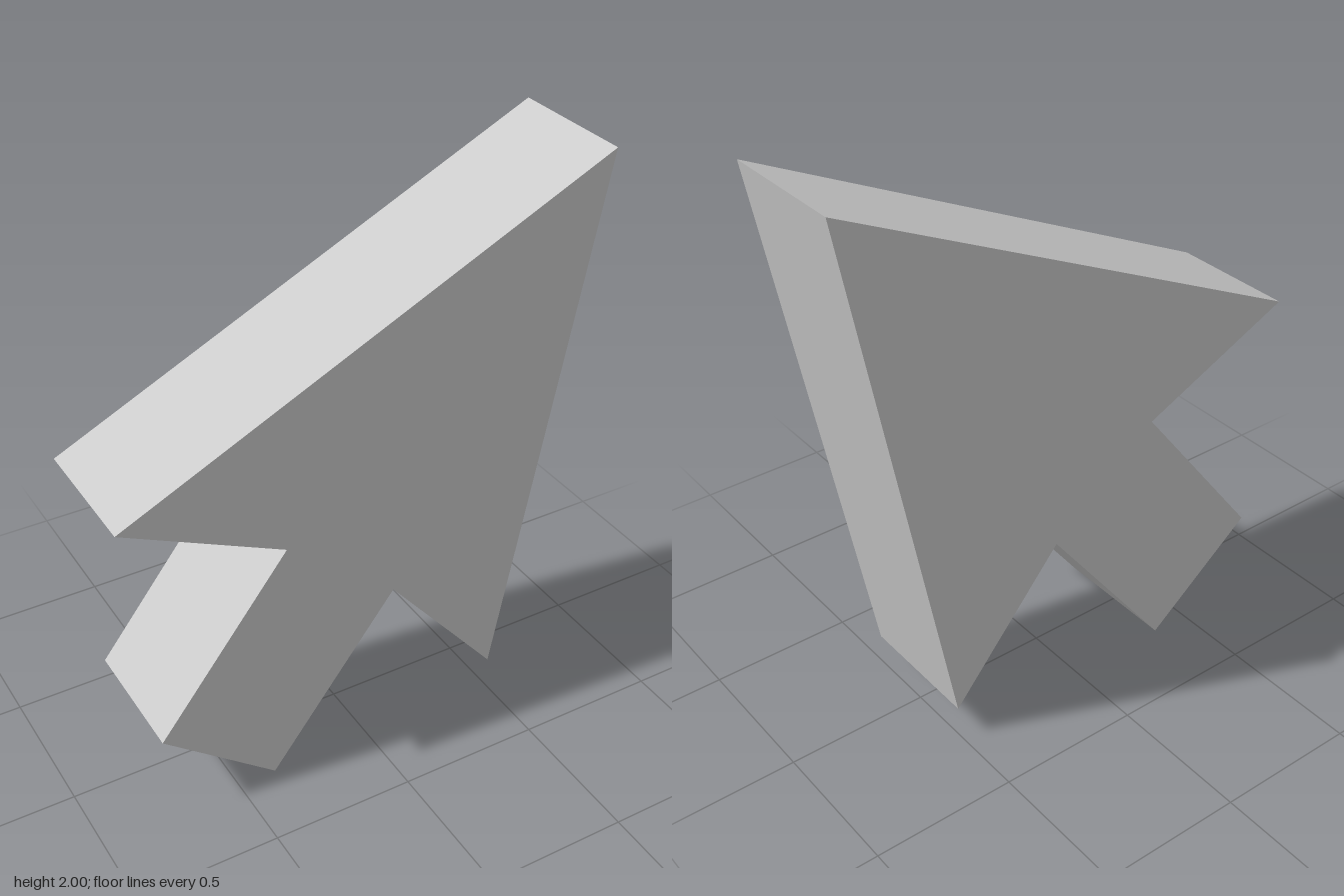
import * as THREE from 'three';

const DEPTH = 0.46;

export function createModel() {
  const group = new THREE.Group();
  group.name = 'pointerArrow';

  // Arrow outline, counter-clockwise from the tip
  const outline = [
    [0.857, 2],       // tip
    [-0.857, 1.18],   // left barb
    [-0.3, 0.92],     // left notch
    [-0.762, 0.322],  // stem end, left corner
    [-0.363, 0],      // stem end, right corner
    [0.095, 0.604],   // right notch
    [0.503, 0.118],   // right barb
  ].map(([x, y]) => new THREE.Vector2(x, y));

  // Solid slab centred on z = 0
  const geometry = new THREE.ExtrudeGeometry(new THREE.Shape(outline), {
    depth: DEPTH,
    bevelEnabled: false,
  });
  geometry.translate(0, 0, -DEPTH / 2);

  const arrow = new THREE.Mesh(
    geometry,
    new THREE.MeshStandardMaterial({ color: 0xcccccc, flatShading: true })
  );
  arrow.name = 'arrow';
  group.add(arrow);
  return group;
}
